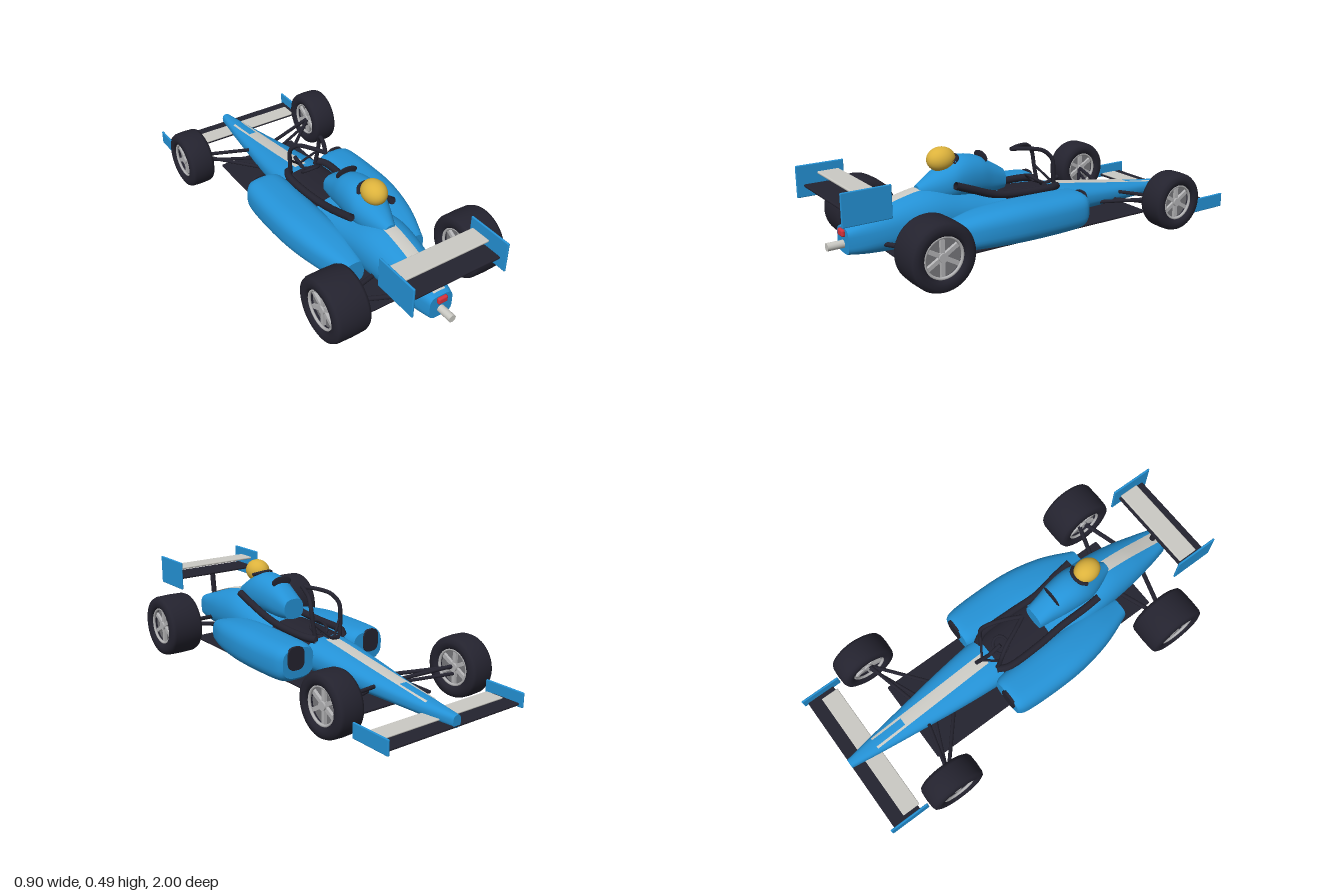
import * as THREE from 'three';
import { RoundedBoxGeometry } from 'three/addons/geometries/RoundedBoxGeometry.js';

const mat = (name, color, side = THREE.FrontSide) => {
  const m = new THREE.MeshStandardMaterial({ color, side });
  m.name = name;
  return m;
};

export function createModel() {
  const blue = mat('body blue', 0x2492d6);
  const dark = mat('black', 0x24232f, THREE.DoubleSide);
  const cream = mat('pale grey', 0xcbcac4, THREE.DoubleSide);
  const silver = mat('rim silver', 0xb4b4b6);
  const steel = mat('rim shade', 0x77777b);
  const yellow = mat('helmet yellow', 0xdcb23c);
  const red = mat('lamp red', 0xd6323c);

  const car = new THREE.Group();
  car.name = 'raceCar';
  const add = (name, geo, material, x = 0, y = 0, z = 0, parent = car) => {
    const m = new THREE.Mesh(geo, material);
    m.name = name;
    m.position.set(x, y, z);
    parent.add(m);
    return m;
  };
  const slab = (name, material, w, h, d, x, y, z) =>
    add(name, new RoundedBoxGeometry(w, h, d, 2, Math.min(w, h, d) * 0.45), material, x, y, z);
  const tube = (name, pts, r) => {
    const curve = new THREE.CatmullRomCurve3(pts.map(p => new THREE.Vector3(...p)));
    return add(name, new THREE.TubeGeometry(curve, pts.length * 6, r, 10), dark);
  };
  const rod = (name, a, b, r) => {
    const va = new THREE.Vector3(...a), vb = new THREE.Vector3(...b);
    const m = add(name, new THREE.CylinderGeometry(r, r, va.distanceTo(vb), 10), dark);
    m.position.copy(va).add(vb).multiplyScalar(0.5);
    m.quaternion.setFromUnitVectors(new THREE.Vector3(0, 1, 0), vb.sub(va).normalize());
    return m;
  };

  // Smoothly resample sections [z, centreX, halfWidth, bottom, top, exponent]
  const spline = (a, b, c, d, t) => {
    const k1 = c - a, k2 = 2 * a - 5 * b + 4 * c - d, k3 = 3 * (b - c) + d - a;
    return b + 0.5 * t * (k1 + t * (k2 + t * k3));
  };
  const resample = (rows, per = 6) => {
    const out = [], last = rows.length - 1;
    for (let i = 0; i < last; i++) {
      const a = rows[Math.max(i - 1, 0)], b = rows[i], c = rows[i + 1], d = rows[Math.min(i + 2, last)];
      for (let k = 0; k < per; k++) out.push(b.map((v, n) => spline(a[n], v, c[n], d[n], k / per)));
    }
    out.push(rows[last]);
    return out;
  };
  const mesh = (pos, idx) => {
    const g = new THREE.BufferGeometry();
    g.setAttribute('position', new THREE.Float32BufferAttribute(pos, 3));
    g.setIndex(idx);
    g.computeVertexNormals();
    return g;
  };

  // Closed skin through superellipse sections, with flat end caps
  const loft = (rows, n = 40) => {
    const pos = [], idx = [], secs = resample(rows);
    const ring = ([z, cx, hw, lo, hi, e]) => {
      for (let j = 0; j < n; j++) {
        const a = (j / n) * Math.PI * 2, c = Math.cos(a), s = Math.sin(a);
        pos.push(cx + hw * Math.sign(c) * Math.abs(c) ** (2 / e),
          (lo + hi) / 2 + (hi - lo) / 2 * Math.sign(s) * Math.abs(s) ** (2 / e), z);
      }
    };
    secs.forEach(ring);
    for (let i = 0; i < secs.length - 1; i++) for (let j = 0; j < n; j++) {
      const k = (j + 1) % n, p = i * n, q = p + n;
      idx.push(p + j, p + k, q + k, p + j, q + k, q + j);
    }
    [secs[0], secs[secs.length - 1]].forEach((s, end) => {
      const base = pos.length / 3;
      ring(s);
      pos.push(s[1], (s[3] + s[4]) / 2, s[0]);
      for (let j = 0; j < n; j++) {
        const k = (j + 1) % n;
        idx.push(base + n, base + (end ? j : k), base + (end ? k : j));
      }
    });
    return mesh(pos, idx);
  };

  // Main fuselage, nose to tail
  const hull = [
    [-0.98, 0, 0.022, 0.06, 0.115, 2.6], [-0.8, 0, 0.05, 0.062, 0.133, 2.5], [-0.6, 0, 0.078, 0.064, 0.16, 2.5],
    [-0.4, 0, 0.105, 0.065, 0.19, 2.5], [-0.2, 0, 0.125, 0.065, 0.22, 2.5], [0, 0, 0.135, 0.065, 0.235, 2.5],
    [0.2, 0, 0.138, 0.065, 0.25, 2.3], [0.35, 0, 0.137, 0.065, 0.288, 2.2], [0.5, 0, 0.132, 0.065, 0.318, 2.2],
    [0.65, 0, 0.115, 0.07, 0.295, 2.3], [0.8, 0, 0.085, 0.08, 0.245, 2.8], [0.9, 0, 0.06, 0.095, 0.21, 3.8]];
  add('fuselage', loft(hull), blue);

  // Thin painted strip lying on top of the fuselage
  const hullRows = resample(hull, 12);
  const paint = (name, material, z0, z1, x0, x1) => {
    const rows = hullRows.filter(r => r[0] >= z0 && r[0] <= z1), n = 12, pos = [], idx = [];
    rows.forEach(([z, , hw, lo, hi, e]) => {
      for (let j = 0; j <= n; j++) {
        const x = Math.max(-hw * 0.98, Math.min(hw * 0.98, x0 + (x1 - x0) * j / n));
        const rise = (1 - (Math.abs(x) / hw) ** e) ** (1 / e);
        pos.push(x, (lo + hi) / 2 + (hi - lo) / 2 * rise + 0.004, z);
      }
    });
    for (let i = 0; i < rows.length - 1; i++) for (let j = 0; j < n; j++) {
      const a = i * (n + 1) + j, b = a + n + 1;
      idx.push(a, b, b + 1, a, b + 1, a + 1);
    }
    add(name, mesh(pos, idx), material);
  };
  paint('noseStripe', cream, -0.67, -0.17, -0.031, 0.031);
  paint('noseStripeForkLeft', cream, -0.85, -0.66, 0.019, 0.031);
  paint('noseStripeForkRight', cream, -0.85, -0.66, -0.031, -0.019);
  paint('tailStripe', cream, 0.5, 0.885, -0.031, 0.031);
  paint('cockpitOpening', dark, -0.165, 0.15, -0.118, 0.118);

  // Head fairing, its intake plate and the helmet
  add('headFairing', loft([
    [0.107, 0, 0.056, 0.25, 0.35, 2.6], [0.18, 0, 0.068, 0.24, 0.395, 2.4], [0.25, 0, 0.082, 0.24, 0.43, 2.2],
    [0.34, 0, 0.09, 0.24, 0.44, 2.2], [0.42, 0, 0.082, 0.24, 0.405, 2.2], [0.545, 0, 0.03, 0.26, 0.333, 2.2]]), blue);
  add('fairingIntake', new THREE.SphereGeometry(1, 24, 12), dark, 0, 0.415, 0.21).scale.set(0.058, 0.028, 0.005);
  add('helmet', new THREE.SphereGeometry(1, 32, 24), yellow, 0, 0.434, 0.418).scale.set(0.056, 0.056, 0.068);
  tube('helmetCollar', [[-0.055, 0.425, 0.38], [-0.035, 0.435, 0.355], [0, 0.44, 0.345],
    [0.035, 0.435, 0.355], [0.055, 0.425, 0.38]], 0.009);

  // Steering wheel and dash
  add('steeringWheel', new THREE.TorusGeometry(0.042, 0.007, 8, 24), dark, 0, 0.255, -0.09).rotation.x = 0.9;
  rod('steeringColumn', [0, 0.255, -0.09], [0, 0.22, -0.16], 0.01);
  rod('dashFin', [0, 0.245, -0.235], [0, 0.222, -0.16], 0.01);

  for (const s of [1, -1]) {
    const side = s > 0 ? 'Left' : 'Right';
    // Cockpit rim padding and protective hoop
    tube('cockpitRim' + side, [[0.112 * s, 0.335, 0.41], [0.11 * s, 0.305, 0.33], [0.1 * s, 0.257, 0.2],
      [0.108 * s, 0.24, 0.05], [0.105 * s, 0.235, -0.12], [0.08 * s, 0.23, -0.17]], 0.018);
    tube('hoop' + side, [[0, 0.425, 0.04], [0.035 * s, 0.424, -0.03], [0.065 * s, 0.41, -0.1],
      [0.082 * s, 0.37, -0.138], [0.08 * s, 0.3, -0.15], [0.07 * s, 0.22, -0.16]], 0.01);
    rod('hoopBrace' + side, [0.075 * s, 0.3, -0.15], [0, 0.225, -0.2], 0.006);

    // Sidepod and its inlet
    add('sidepod' + side, loft([
      [-0.205, 0.205 * s, 0.085, 0.085, 0.225, 3], [-0.16, 0.205 * s, 0.104, 0.062, 0.238, 2.8],
      [0, 0.205 * s, 0.112, 0.057, 0.243, 2.7], [0.18, 0.2 * s, 0.11, 0.057, 0.243, 2.7],
      [0.36, 0.18 * s, 0.095, 0.06, 0.222, 2.8], [0.52, 0.165 * s, 0.05, 0.066, 0.18, 3]]), blue);
    add('sidepodInlet' + side, loft([
      [-0.213, 0.22 * s, 0.045, 0.125, 0.235, 3], [-0.2, 0.22 * s, 0.045, 0.125, 0.235, 3]]), dark);

    // Wing end plates
    slab('frontEndPlate' + side, blue, 0.01, 0.07, 0.205, 0.38 * s, 0.088, -0.897);
    slab('rearEndPlate' + side, blue, 0.01, 0.145, 0.22, 0.238 * s, 0.366, 0.89);

    // Wheels: tyre, recessed rim disc, spokes on both faces
    for (const [end, r, w, x, z] of [['rear', 0.153, 0.175, 0.362, 0.658], ['front', 0.142, 0.13, 0.37, -0.647]]) {
      const g = new THREE.Group();
      g.name = end + 'Wheel' + side;
      g.position.set(x * s, r + 0.005, z);
      g.rotation.z = -Math.PI / 2 * s;
      car.add(g);
      const h = w / 2, ri = r * 0.6;
      const profile = [[ri, -h + 0.012], [ri + 0.012, -h], [r - 0.025, -h], [r - 0.008, -h + 0.008],
        [r - 0.002, -h + 0.022], [r, 0], [r - 0.002, h - 0.022], [r - 0.008, h - 0.008], [r - 0.025, h],
        [ri + 0.012, h], [ri, h - 0.012], [ri, -h + 0.012]];
      add('tyre', new THREE.LatheGeometry(profile.map(p => new THREE.Vector2(...p)), 48), dark, 0, 0, 0, g);
      add('rimDisc', new THREE.CylinderGeometry(ri, ri, w - 0.075, 40), steel, 0, 0, 0, g);
      add('hub', new THREE.CylinderGeometry(0.02, 0.02, w - 0.03, 20), silver, 0, 0, 0, g);
      for (const f of [1, -1]) {
        add('rimLip', new THREE.TorusGeometry(ri - 0.004, 0.007, 8, 40), silver, 0, f * (h - 0.018), 0, g)
          .rotation.x = Math.PI / 2;
        for (let k = 0; k < 6; k++) {
          const a = k * Math.PI / 3;
          add('spoke', new THREE.BoxGeometry(ri - 0.008, 0.014, 0.018), silver,
            Math.cos(a) * ri / 2, f * (h - 0.03), -Math.sin(a) * ri / 2, g).rotation.y = a;
        }
      }
    }

    // Suspension arms: [wheel end, body end, radius]
    [[[0.33, 0.155, 0.65], [0.08, 0.125, 0.57], 0.011], [[0.33, 0.155, 0.66], [0.07, 0.125, 0.75], 0.011],
      [[0.33, 0.15, -0.64], [0.06, 0.125, -0.57], 0.009], [[0.33, 0.145, -0.64], [0.09, 0.1, -0.44], 0.009],
      [[0.33, 0.115, -0.645], [0.06, 0.095, -0.53], 0.008]]
      .forEach(([a, b, r], i) =>
        rod((i < 2 ? 'rearArm' : 'frontArm') + side, [a[0] * s, a[1], a[2]], [b[0] * s, b[1], b[2]], r));
  }

  // Floor and wings
  slab('floor', dark, 0.434, 0.014, 1.32, 0, 0.049, 0.033);
  slab('frontWing', dark, 0.76, 0.012, 0.145, 0, 0.066, -0.908);
  slab('frontFlap', cream, 0.7, 0.008, 0.09, 0, 0.08, -0.87);
  slab('rearWing', dark, 0.47, 0.013, 0.15, 0, 0.346, 0.893);
  slab('rearFlap', cream, 0.44, 0.012, 0.1, 0, 0.4, 0.86);
  rod('rearWingPost', [0, 0.2, 0.855], [0, 0.345, 0.872], 0.014);

  // Tail lamp and exhaust
  slab('tailLamp', red, 0.05, 0.033, 0.02, 0, 0.189, 0.905);
  add('exhaust', new THREE.CylinderGeometry(0.018, 0.018, 0.1, 24), cream, 0, 0.136, 0.925).rotation.x = Math.PI / 2;

  return car;
}
